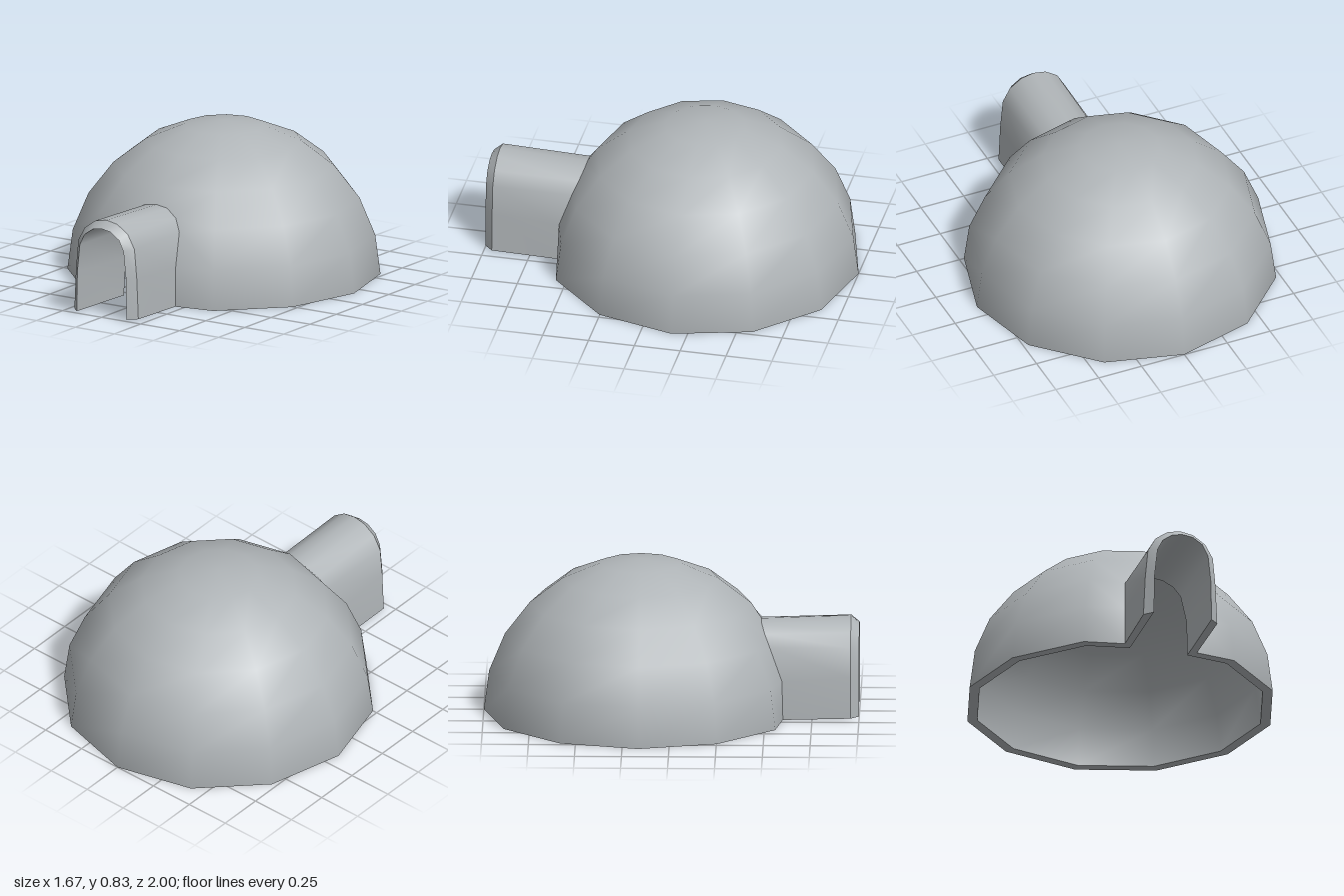
import * as THREE from 'three';
import { toCreasedNormals } from 'three/addons/utils/BufferGeometryUtils.js';

const OUTER = 0.835, INNER = 0.78, CENTRE_Z = -0.165;
const STEP = 15; // degrees between dome rings

// Skin a grid of points, row by row
function loft(rows) {
  const pos = [];
  for (let i = 0; i < rows.length - 1; i++) {
    for (let j = 0; j < rows[i].length - 1; j++) {
      const a = rows[i][j], b = rows[i][j + 1], c = rows[i + 1][j + 1], d = rows[i + 1][j];
      pos.push(...a, ...b, ...c, ...a, ...c, ...d);
    }
  }
  const g = new THREE.BufferGeometry();
  g.setAttribute('position', new THREE.Float32BufferAttribute(pos, 3));
  g.computeVertexNormals();
  return g;
}

// Point normals away from (or towards) the dome centre
function radialNormals(g, sign) {
  const p = g.attributes.position, n = g.attributes.normal, v = new THREE.Vector3();
  for (let i = 0; i < p.count; i++) {
    v.fromBufferAttribute(p, i);
    v.z -= CENTRE_Z;
    v.normalize().multiplyScalar(sign);
    n.setXYZ(i, v.x, v.y, v.z);
  }
  return g;
}

// Complete a half arch (right foot to crown) with its mirror image
const mirror = half => [...half, ...half.slice(0, -1).reverse().map(([x, y, z]) => [-x, y, z])];

function domePoint(r, lat, phi) {
  const a = THREE.MathUtils.degToRad(lat), b = THREE.MathUtils.degToRad(phi);
  return [r * Math.cos(a) * Math.sin(b), r * Math.sin(a), r * Math.cos(a) * Math.cos(b) + CENTRE_Z];
}

function ring(r, lat, from, to) {
  const pts = [];
  for (let phi = from; phi <= to; phi += 30) pts.push(domePoint(r, lat, phi));
  return pts;
}

export function createModel() {
  const group = new THREE.Group();
  const grey = new THREE.MeshStandardMaterial({ color: 0xb0b5b8 });
  const add = (name, geometry) => {
    const mesh = new THREE.Mesh(geometry, grey);
    mesh.name = name;
    group.add(mesh);
  };

  // Arches where the tunnel meets the dome, and at its mouth
  const outerJoin = mirror([[0.2, 0, 0.595], [0.198, 0.21, 0.59], [0.178, 0.39, 0.525],
    [0.137, 0.455, 0.497], [0.07, 0.497, 0.48], [0, 0.507, 0.478]]);
  const innerJoin = mirror([[0.16, 0, 0.55], [0.158, 0.2, 0.54], [0.142, 0.37, 0.485],
    [0.11, 0.435, 0.455], [0.057, 0.475, 0.435], [0, 0.485, 0.43]]);
  const outerMouth = mirror([[0.205, 0.01, 0.955], [0.195, 0.23, 0.955], [0.18, 0.39, 0.955],
    [0.138, 0.465, 0.955], [0.07, 0.512, 0.955], [0, 0.525, 0.955]]);
  const innerMouth = mirror([[0.16, 0.01, 1], [0.156, 0.23, 1], [0.14, 0.38, 1],
    [0.11, 0.44, 1], [0.057, 0.477, 1], [0, 0.486, 1]]);

  // Dome shells, each with a doorway filled in around the arch
  for (const [name, r, sign, arch] of [['outerDome', OUTER, 1, outerJoin], ['innerDome', INNER, -1, innerJoin]]) {
    const lower = [], upper = [];
    for (let i = 0; i <= 3; i++) {
      lower.push(ring(r, i * STEP, 30, 330));
      upper.push(ring(r, 45 + i * STEP, 0, 360));
    }
    const sides = [0, 15, 30, 45, 45].map(lat => domePoint(r, lat, 30));
    const opening = mirror([...sides, domePoint(r, 45, 0)]);
    const surround = [opening, arch];
    if (sign < 0) {
      [...lower, ...upper].forEach(row => row.reverse());
      surround.reverse();
    }
    add(name + 'Wall', radialNormals(loft(lower), sign));
    add(name + 'Top', radialNormals(loft(upper), sign));
    add(name + 'DoorSurround', radialNormals(loft(surround), sign));
  }

  // Flat underside of the dome wall
  const rim = (r, arch) => [arch[0], ...ring(r, 0, 30, 330), arch[arch.length - 1]];
  add('domeRim', loft([rim(INNER, innerJoin), rim(OUTER, outerJoin)]));

  // Entrance tunnel: outside, bevelled mouth, inside
  add('tunnel', toCreasedNormals(loft([outerJoin, outerMouth, innerMouth, innerJoin]), 0.65));

  // Undersides of the tunnel walls
  const foot = (k, join, mouth) => [join[k], mouth[k]];
  const last = outerJoin.length - 1;
  add('leftTunnelFoot', loft([foot(0, outerJoin, outerMouth), foot(0, innerJoin, innerMouth)]));
  add('rightTunnelFoot', loft([foot(last, innerJoin, innerMouth), foot(last, outerJoin, outerMouth)]));

  return group;
}
